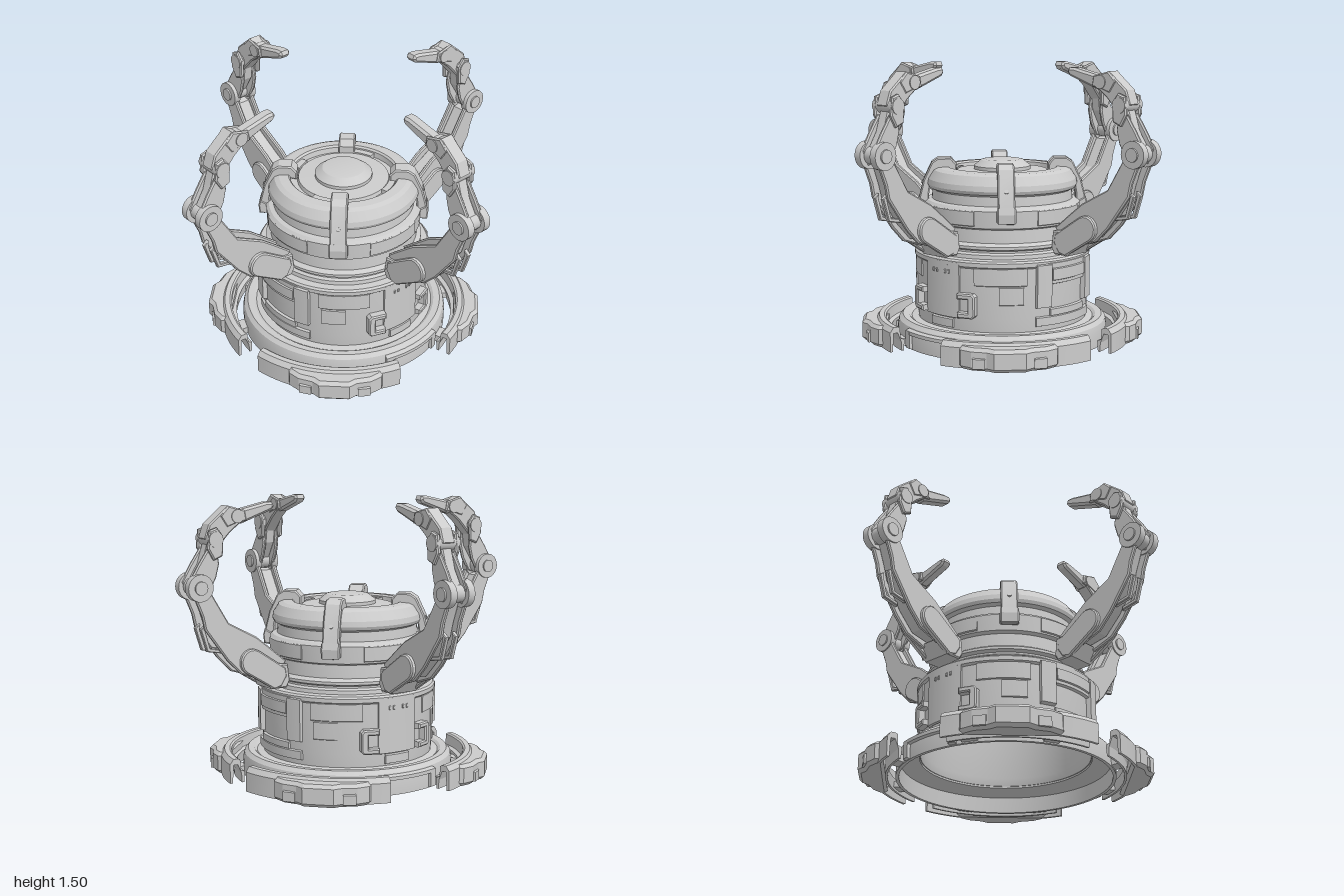
import * as THREE from 'three';
import { toCreasedNormals, mergeGeometries } from 'three/addons/utils/BufferGeometryUtils.js';

const material = new THREE.MeshStandardMaterial({ color: 0xcccccc, side: THREE.DoubleSide });
const rad = THREE.MathUtils.degToRad;
const points = (list) => list.map(([x, y]) => new THREE.Vector2(x, y));

function add(parent, name, geometry) {
  const mesh = new THREE.Mesh(toCreasedNormals(geometry, 0.3), material);
  mesh.name = name;
  parent.add(mesh);
}

// Full turn of a profile given as [radius, y]
const turned = (list) => new THREE.LatheGeometry(points(list), 64);

// Closed profile swept between two angles (degrees from +z towards +x), with end caps
function sector(list, from, to, n = 12) {
  const a = rad(from), b = rad(to);
  const skin = new THREE.LatheGeometry(points([...list, list[0]]), n, a, b - a);
  const caps = [a, b].map((t) => new THREE.ShapeGeometry(new THREE.Shape(points(list))).rotateY(t - Math.PI / 2));
  return mergeGeometries([skin, ...caps]);
}

// Curved plate on the drum with chamfered top and bottom
const plate = (r0, r1, y0, y1, from, to, n = 8) =>
  sector([[r0, y0], [r1, y0 + 0.008], [r1, y1 - 0.008], [r0, y1]], from, to, n);

// Bevelled side-view outline [radius, y], width across z, centred on z
function slab(list, width, z = 0, bevel = 0.007) {
  const g = new THREE.ExtrudeGeometry(new THREE.Shape(points(list)), {
    depth: width - 2 * bevel, bevelThickness: bevel, bevelSize: bevel, bevelOffset: -bevel, bevelSegments: 1,
  });
  return g.translate(0, 0, z - width / 2 + bevel);
}

const pin = (x, y, r, width, z = 0) =>
  new THREE.CylinderGeometry(r, r, width, 24).rotateX(Math.PI / 2).translate(x, y, z);

// Link outline with a round upper end and a squarer lower end
function capsule(x0, y0, x1, y1, r) {
  const a = Math.atan2(y1 - y0, x1 - x0), out = [];
  for (let i = 0; i <= 8; i++) {
    const t = a - Math.PI / 2 + (i * Math.PI) / 8;
    out.push([x1 + r * Math.cos(t), y1 + r * Math.sin(t)]);
  }
  for (const s of [0.95, 0.45, -0.45, -0.95]) {
    const back = Math.abs(s) > 0.5 ? 0.3 : 0.75;
    out.push([x0 - r * back * Math.cos(a) - s * r * Math.sin(a), y0 - r * back * Math.sin(a) + s * r * Math.cos(a)]);
  }
  return out;
}

function createBase() {
  const base = new THREE.Group();
  base.name = 'base';
  add(base, 'baseRing', turned([[0.455, 0.13], [0.5, 0.122], [0.515, 0.133], [0.55, 0.135], [0.57, 0.115],
    [0.578, 0.08], [0.578, 0], [0.56, 0], [0.555, 0.085], [0.455, 0.11], [0.455, 0.13]]));

  // Stepped outline of the outer pad, seen in plan: [degrees from its middle, radius]
  const half = [[6, 0.775], [9, 0.75], [15, 0.745], [20, 0.72], [22, 0.68]];
  const padOutline = [...half.map(([a, r]) => [-a, r]).reverse(), ...half].map(([a, r]) => [r * Math.cos(rad(a)), r * Math.sin(rad(a))]);
  // The feet reach further round on the left and right than at the front and back
  for (const [from, to] of [[15.5, 83], [97, 164.5], [195.5, 263], [277, 344.5]]) {
    const foot = new THREE.Group();
    foot.name = 'footSegment';
    const middle = Math.floor(from / 90) * 90 + 45;
    add(foot, 'footRail', sector([[0.62, 0], [0.615, 0.06], [0.638, 0.068], [0.642, 0.125], [0.652, 0.132], [0.68, 0.132],
      [0.7, 0.105], [0.7, 0], [0.685, 0], [0.68, 0.1], [0.655, 0.1], [0.635, 0.05], [0.632, 0]], from, to, 20));
    const pad = new THREE.Group();
    pad.name = 'footPad';
    pad.rotation.y = rad(middle - 90);
    add(pad, 'padBody', slab(padOutline, 0.118, 0, 0.018).rotateX(-Math.PI / 2).translate(0, 0.059, 0));
    foot.add(pad);
    for (const s of [-1, 1]) {
      const at = middle + s * 12;
      add(foot, 'footLug', sector([[0.73, 0.015], [0.73, 0.075], [0.757, 0.065], [0.757, 0.015]], at - 2.5, at + 2.5, 2));
      add(foot, 'footBridge', plate(0.565, 0.625, 0.005, 0.05, middle + s * 20 - 4, middle + s * 20 + 4, 3));
    }
    base.add(foot);
  }
  // Frames on the ring at the front and back
  for (const turn of [0, 180]) {
    add(base, 'ringFrame', plate(0.57, 0.595, 0.075, 0.11, turn - 17, turn + 17));
    for (const s of [-1, 1]) add(base, 'ringFrameSide', plate(0.57, 0.595, 0, 0.11, turn + s * 16 - 2, turn + s * 16 + 2, 2));
  }
  return base;
}

function createDrum() {
  const drum = new THREE.Group();
  drum.name = 'drum';
  add(drum, 'lowerDrum', turned([[0.44, 0.47], [0.44, 0.16], [0.45, 0.12], [0.462, 0.12], [0.468, 0.2], [0.468, 0.465],
    [0.48, 0.475], [0.48, 0.497], [0.47, 0.507], [0.43, 0.51]]));
  add(drum, 'upperDrum', turned([[0, 0.49], [0.43, 0.5], [0.425, 0.53], [0.41, 0.54], [0.41, 0.55], [0.43, 0.56], [0.43, 0.575],
    [0.405, 0.59], [0.4, 0.66], [0.422, 0.67], [0.425, 0.76], [0.41, 0.775], [0.385, 0.78], [0.38, 0.835]]));
  add(drum, 'cap', turned([[0.38, 0.83], [0.402, 0.842], [0.41, 0.86], [0.405, 0.888], [0.375, 0.935], [0.35, 0.946], [0.3, 0.95],
    [0.29, 0.94], [0.285, 0.91], [0.25, 0.91], [0.245, 0.93], [0.155, 0.935], [0.155, 0.953],
    [0.115, 0.984], [0.1, 0.987], [0, 0.988]]));

  for (let k = 0; k < 2; k++) {
    const side = new THREE.Group();
    side.name = 'drumPanels';
    side.rotation.y = k * Math.PI;
    // Front and back: centre panel with two clamps
    add(side, 'centrePanel', plate(0.46, 0.48, 0.19, 0.5, -14, 14));
    add(side, 'centrePanelFoot', plate(0.455, 0.48, 0.135, 0.195, -9, 9));
    for (const s of [-1, 1]) {
      const clamp = new THREE.Group();
      clamp.name = 'clamp';
      clamp.rotation.y = s * rad(20.5);
      const jaw = [[-0.055, -0.065], [0.03, -0.065], [0.045, -0.05], [0.045, 0.05], [0.03, 0.065], [-0.055, 0.065],
        [-0.055, 0.035], [0.005, 0.035], [0.005, -0.035], [-0.055, -0.035]];
      add(clamp, 'clampJaw', slab(jaw.map(([x, y]) => [x * s, y + 0.27]), 0.05, 0.485));
      side.add(clamp);
      for (const a of [3.5, 6.5]) add(side, 'panelSlot', plate(0.475, 0.485, 0.425, 0.455, s * a - 0.6, s * a + 0.6, 1));
      // Cover plates around the quarters
      add(side, 'upperCover', plate(0.46, 0.475, 0.37, 0.475, s * 41 - 17, s * 41 + 17));
      add(side, 'coverStep', plate(0.46, 0.475, 0.27, 0.375, s * 48 - 8, s * 48 + 8, 4));
      add(side, 'edgeCover', plate(0.46, 0.494, 0.25, 0.49, 90 + s * 21 - 5, 90 + s * 21 + 5, 3));
    }
    // Sides: framed window and a hatch with sloping shoulders
    add(side, 'sidePanel', plate(0.46, 0.484, 0.37, 0.495, 72, 108));
    add(side, 'windowInset', plate(0.475, 0.492, 0.39, 0.465, 75, 105));
    add(side, 'hatchBase', plate(0.455, 0.482, 0.15, 0.21, 64, 116));
    add(side, 'hatchTop', plate(0.455, 0.482, 0.2, 0.25, 74, 106));
    drum.add(side);
  }

  // Thin band plates, cap inlays and diagonal cap clips
  for (let k = 0; k < 4; k++) {
    add(drum, 'bandPlate', plate(0.415, 0.43, 0.675, 0.765, k * 90 - 22, k * 90 + 22));
    add(drum, 'capInlay', sector([[0.25, 0.91], [0.25, 0.935], [0.285, 0.935], [0.285, 0.91]], k * 90 + 12, k * 90 + 36));
    const clip = new THREE.Group();
    clip.name = 'capClip';
    clip.rotation.y = Math.PI / 4 + (k * Math.PI) / 2;
    add(clip, 'clipStrap', slab([[0.25, 0.92], [0.25, 0.965], [0.28, 0.998], [0.35, 0.998], [0.385, 0.975], [0.43, 0.88], [0.46, 0.76],
      [0.455, 0.71], [0.435, 0.695], [0.4, 0.71], [0.4, 0.8], [0.385, 0.89], [0.34, 0.935]], 0.09));
    add(clip, 'clipFoot', slab([[0.41, 0.7], [0.41, 0.76], [0.455, 0.785], [0.465, 0.75], [0.46, 0.7]], 0.1));
    add(clip, 'clipBolt', new THREE.CylinderGeometry(0.011, 0.011, 0.014, 12).rotateZ(-1.1).translate(0.432, 0.865, 0));
    drum.add(clip);
  }
  return drum;
}

// One claw arm, reaching along +x
function createArm() {
  const arm = new THREE.Group();
  arm.name = 'clawArm';
  add(arm, 'shoulderBlock', slab([[0.42, 0.56], [0.43, 0.65], [0.5, 0.66], [0.58, 0.6], [0.53, 0.525], [0.44, 0.525]], 0.17));
  for (const s of [-1, 1]) {
    add(arm, 'shoulderPlate', slab(capsule(0.5, 0.59, 0.645, 0.683, 0.068), 0.032, s * 0.074));
    add(arm, 'lowerArmPlate', slab([[0.47, 0.62], [0.43, 0.665], [0.54, 0.755], [0.61, 0.81], [0.77, 0.895], [0.87, 1.06], [0.93, 1.1],
      [0.97, 1.06], [0.92, 0.94], [0.905, 0.87], [0.78, 0.7], [0.7, 0.62], [0.58, 0.58]], 0.026, s * 0.054));
    add(arm, 'elbow', pin(0.93, 1.085, 0.07, 0.04, s * 0.055));
    add(arm, 'elbowCap', pin(0.93, 1.085, 0.035, 0.012, s * 0.078));
    add(arm, 'upperArmPlate', slab([[0.875, 1.05], [0.83, 1.13], [0.812, 1.2], [0.825, 1.28], [0.875, 1.28], [0.93, 1.2],
      [0.985, 1.11], [0.95, 1.03]], 0.022, s * 0.042));
    add(arm, 'wristPlate', slab([[0.8, 1.24], [0.795, 1.34], [0.83, 1.385], [0.875, 1.37], [0.885, 1.28], [0.85, 1.22]], 0.026, s * 0.058));
    add(arm, 'fingerPlate', slab([[0.645, 1.41], [0.655, 1.465], [0.75, 1.49], [0.8, 1.44], [0.76, 1.38], [0.7, 1.4]], 0.02, s * 0.034));
    // Bent strut behind the lower arm
    add(arm, 'strut', slab([[0.89, 0.89], [0.92, 0.87], [0.883, 0.752], [0.79, 0.735], [0.79, 0.755], [0.866, 0.77], [0.892, 0.86]], 0.024, s * 0.03, 0.004));
  }
  add(arm, 'lowerArmCore', slab([[0.48, 0.66], [0.56, 0.745], [0.63, 0.78], [0.78, 0.87], [0.88, 1.03], [0.92, 1.04], [0.88, 0.93],
    [0.86, 0.86], [0.76, 0.72], [0.67, 0.63], [0.56, 0.61]], 0.084));
  add(arm, 'elbowAxle', pin(0.93, 1.085, 0.045, 0.1));
  add(arm, 'upperArmCore', slab([[0.9, 1.09], [0.83, 1.2], [0.81, 1.33], [0.86, 1.33], [0.9, 1.2], [0.95, 1.12]], 0.064));
  add(arm, 'wrist', pin(0.84, 1.325, 0.04, 0.15));
  add(arm, 'hand', slab([[0.82, 1.27], [0.74, 1.355], [0.68, 1.4], [0.69, 1.46], [0.75, 1.49], [0.86, 1.4], [0.885, 1.33]], 0.08));
  add(arm, 'knuckle', pin(0.7, 1.435, 0.035, 0.098));
  add(arm, 'clawTip', slab([[0.73, 1.455], [0.725, 1.415], [0.67, 1.395], [0.49, 1.458], [0.475, 1.478], [0.485, 1.5], [0.52, 1.5]], 0.068, 0, 0.012));
  return arm;
}

export function createModel() {
  const model = new THREE.Group();
  model.name = 'clawPedestal';
  model.add(createBase(), createDrum());
  for (let k = 0; k < 4; k++) {
    const arm = createArm();
    arm.rotation.y = (k * Math.PI) / 2;
    model.add(arm);
  }
  return model;
}
